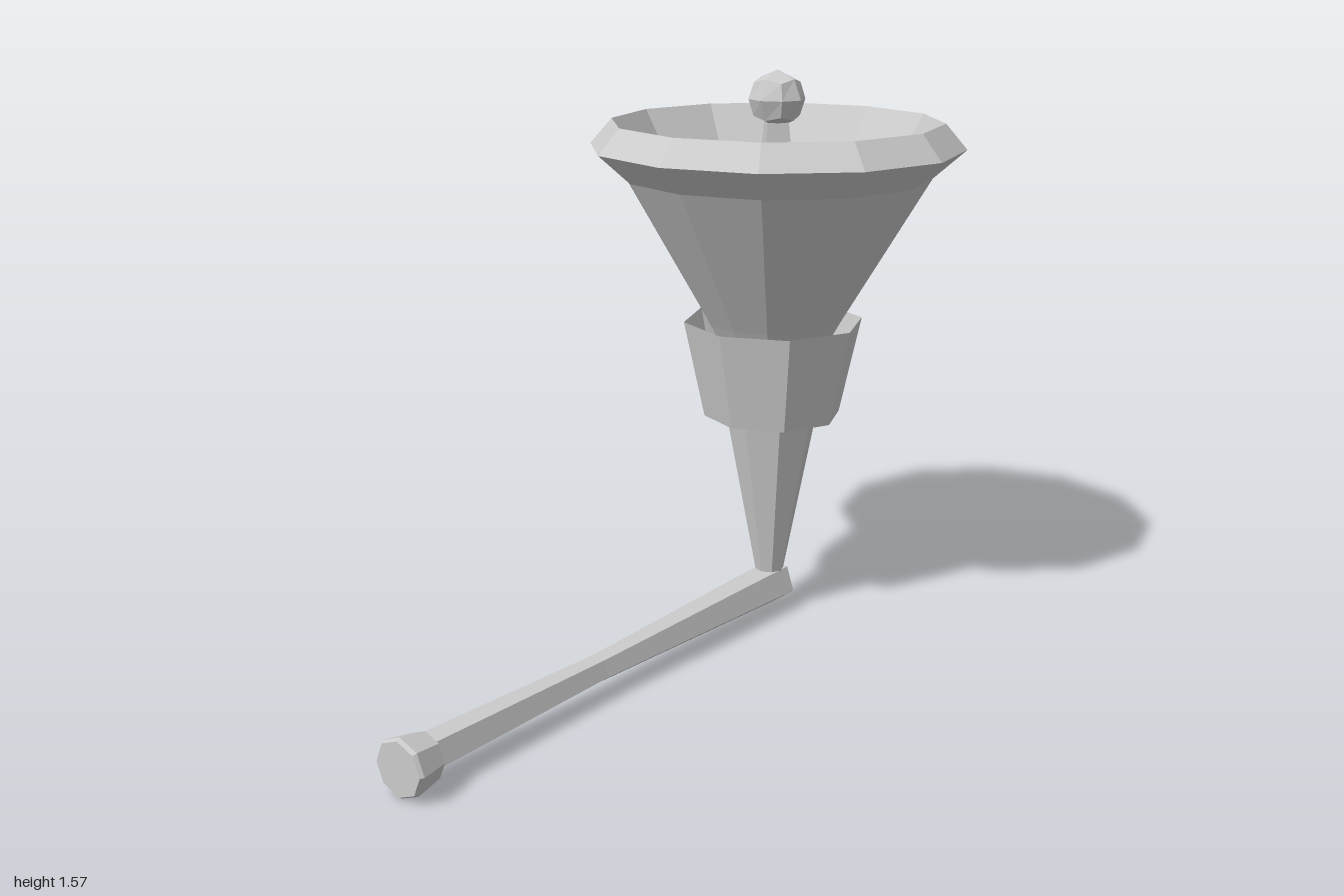
import * as THREE from 'three';

const AXIS_Z = -0.48;
const material = new THREE.MeshStandardMaterial({
  color: 0xcccccc, flatShading: true, side: THREE.DoubleSide,
});

// Faceted turned part from [radius, height] pairs, listed from bottom to top
function turned(name, profile, sides) {
  const points = profile.map(([r, y]) => new THREE.Vector2(r, y));
  const mesh = new THREE.Mesh(new THREE.LatheGeometry(points, sides), material);
  mesh.name = name;
  return mesh;
}

// Low-poly ball made of a subdivided cube pushed out to a sphere
function cubeBall(name, radius) {
  const geometry = new THREE.BoxGeometry(1, 1, 1, 2, 2, 2);
  const position = geometry.attributes.position;
  const v = new THREE.Vector3();
  for (let i = 0; i < position.count; i++) {
    v.fromBufferAttribute(position, i).setLength(radius);
    position.setXYZ(i, v.x, v.y, v.z);
  }
  const mesh = new THREE.Mesh(geometry, material);
  mesh.name = name;
  return mesh;
}

export function createModel() {
  const model = new THREE.Group();
  model.name = 'bellFlower';

  // Upright parts share one vertical axis
  const upright = new THREE.Group();
  upright.name = 'flowerHead';
  upright.position.z = AXIS_Z;
  model.add(upright);

  // Tapered neck, rising from the arm into the collar
  upright.add(turned('neck', [[0, 0.09], [0.035, 0.1], [0.13, 0.6], [0, 0.62]], 8));

  // Open collar with a closed floor
  upright.add(turned('collar', [[0, 0.605], [0.195, 0.605], [0.255, 0.88]], 8));

  // Flared bell: outer wall, bevelled rim, inner wall
  upright.add(turned('bell', [
    [0, 0.66], [0.075, 0.67], [0.19, 0.88], [0.43, 1.29], [0.52, 1.37],
    [0.46, 1.44], [0.1, 0.84], [0, 0.84],
  ], 12));

  // Four-sided pistil with a ball tip
  upright.add(turned('pistil', [[0.11, 0.84], [0.04, 1.45]], 4));
  const tip = cubeBall('pistilTip', 0.079);
  tip.position.y = 1.5;
  upright.add(tip);

  // Five-sided arm lying along z, drifting slightly sideways
  const arm = turned('arm', [
    [0, -0.545], [0.035, -0.54], [0.063, -0.515], [0.039, 0.29], [0.053, 0.92],
  ], 5);
  const position = arm.geometry.attributes.position;
  for (let i = 0; i < position.count; i++) {
    const along = (position.getY(i) + 0.545) / 1.465;
    position.setX(i, position.getX(i) + 0.003 - 0.014 * along);
  }
  arm.rotation.x = Math.PI / 2;
  arm.position.y = 0.083;
  model.add(arm);

  // Flared foot at the free end of the arm
  const foot = turned('armEnd', [[0, 0.905], [0.063, 0.91], [0.078, 0.99], [0.072, 1], [0, 1]], 8);
  foot.rotation.x = Math.PI / 2;
  foot.position.set(-0.008, 0.085, 0);
  model.add(foot);

  return model;
}
